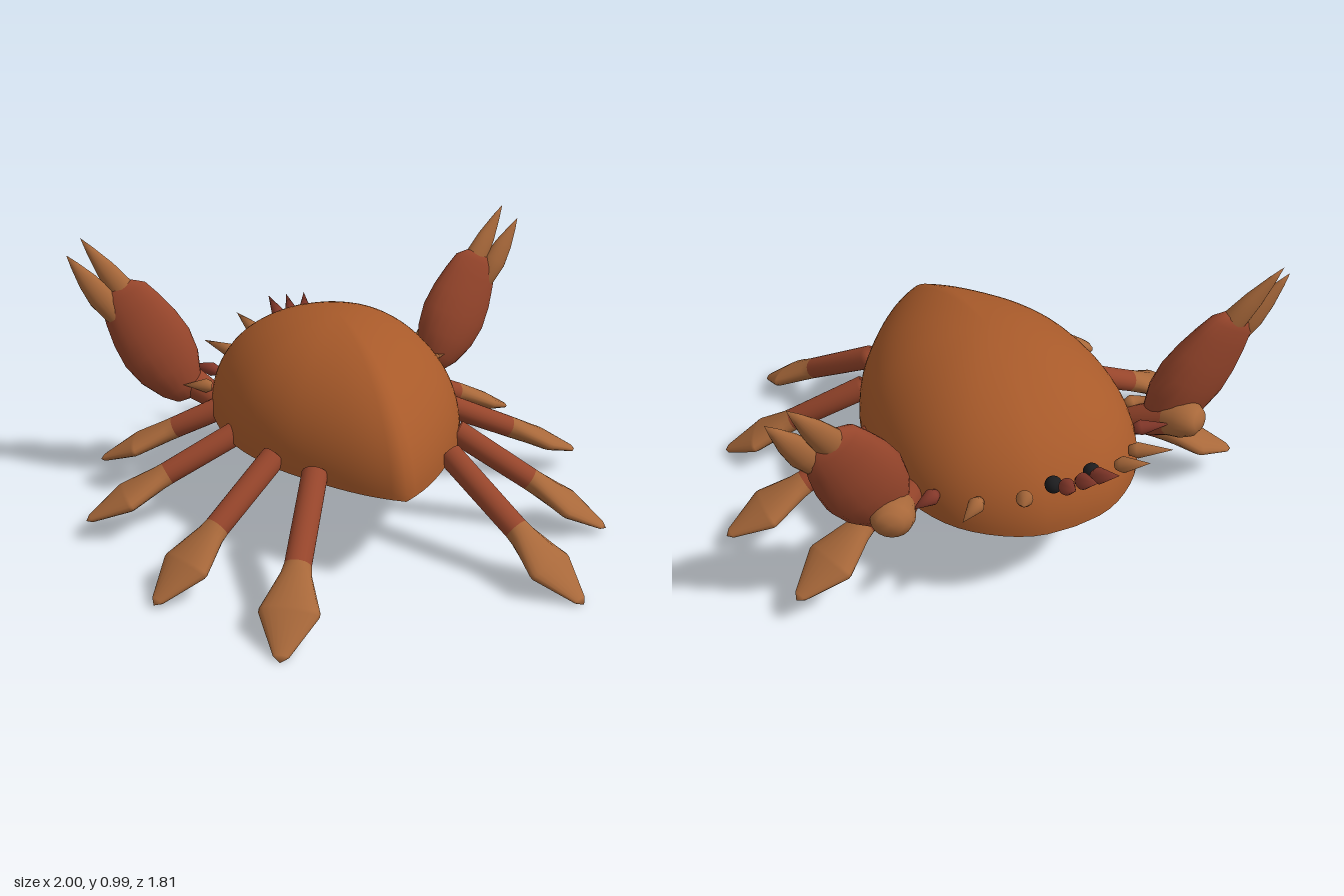
import * as THREE from 'three';
import { mergeVertices } from 'three/addons/utils/BufferGeometryUtils.js';

const V = (x, y, z) => new THREE.Vector3(x, y, z);
const SHELL = 0xa85a2a, RED = 0x96452b, TAN = 0xa8683a, DARK_RED = 0x84382a, BLACK = 0x1c1c1e;

// Weld a reshaped geometry and give it smooth normals
function smooth(geo) {
  geo.deleteAttribute('uv');
  geo.deleteAttribute('normal');
  const g = mergeVertices(geo, 1e-5);
  g.computeVertexNormals();
  return g;
}

function mesh(name, geo, color) {
  const m = new THREE.Mesh(geo, new THREE.MeshStandardMaterial({ color }));
  m.name = name;
  return m;
}

// Elliptical loft from a to b; rows are [fraction, half width, half thickness].
// The flat side's normal lies close to the given direction.
function loft(name, a, b, rows, color, flat = V(0, 1, 0)) {
  const seg = 20;
  const geo = new THREE.CylinderGeometry(1, 1, 1, seg, rows.length - 1, true);
  const dir = b.clone().sub(a), len = dir.length();
  dir.normalize();
  const wide = dir.clone().cross(flat).normalize();
  const basis = new THREE.Matrix4().makeBasis(wide, dir, wide.clone().cross(dir)).setPosition(a);
  const p = geo.attributes.position;
  for (let i = 0; i < p.count; i++) {
    const [t, w, h] = rows[rows.length - 1 - Math.floor(i / (seg + 1))];
    p.setXYZ(i, p.getX(i) * w, t * len, p.getZ(i) * h);
  }
  geo.applyMatrix4(basis);
  return mesh(name, smooth(geo), color);
}

// Domed, open-bottomed shell on a teardrop outline
function carapace() {
  const half = new THREE.CatmullRomCurve3([
    [0, 0.6], [0.06, 0.56], [0.14, 0.49], [0.26, 0.35], [0.36, 0.2], [0.44, 0],
    [0.465, -0.22], [0.45, -0.4], [0.41, -0.53], [0.35, -0.63], [0.25, -0.72], [0.13, -0.78], [0, -0.795],
  ].map(([x, z]) => V(x, 0, z)));
  const geo = new THREE.SphereGeometry(1, 72, 24, 0, Math.PI * 2, 0, Math.PI / 2);
  const p = geo.attributes.position;
  for (let i = 0; i < p.count; i++) {
    const x = p.getX(i), y = p.getY(i), z = p.getZ(i), r = Math.hypot(x, z);
    const o = half.getPointAt(Math.min(1, Math.atan2(Math.abs(x), z) / Math.PI));
    p.setXYZ(i, Math.sign(x) * o.x * r, 0.325 + 0.425 * y, -0.15 + (o.z + 0.15) * r);
  }
  const m = mesh('carapace', smooth(geo), SHELL);
  m.material.side = THREE.DoubleSide;
  return m;
}

// Round shaft ending in a flat pointed paddle
function leg(name, start, end) {
  const g = new THREE.Group();
  g.name = name;
  const len = start.distanceTo(end);
  const neck = start.clone().lerp(end, 1 - 0.34 / len);
  g.add(loft('legShaft', start, neck, [[0, 0, 0], [0, 0.046, 0.046], [1, 0.046, 0.042]], RED));
  g.add(loft('legPaddle', neck, end, [
    [0, 0.046, 0.042], [0.1, 0.052, 0.041], [0.48, 0.1, 0.034], [0.52, 0.1, 0.033],
    [0.94, 0.026, 0.012], [1, 0, 0],
  ], TAN));
  return g;
}

// Arm, palm and two slim fingers
function claw(name, s) {
  const g = new THREE.Group();
  g.name = name;
  const front = V(0, 0, 1);
  g.add(loft('arm', V(0.4 * s, 0.34, -0.39), V(0.54 * s, 0.42, -0.54),
    [[0, 0, 0], [0, 0.045, 0.045], [1, 0.07, 0.065]], RED));
  g.add(loft('armEnd', V(0.54 * s, 0.42, -0.54), V(0.6 * s, 0.46, -0.65),
    [[0, 0.07, 0.065], [0.4, 0.076, 0.068], [0.75, 0.068, 0.058], [0.93, 0.045, 0.036], [1, 0, 0]], TAN));
  g.add(loft('palm', V(0.52 * s, 0.34, -0.48), V(0.77 * s, 0.82, -0.57), [
    [0, 0, 0], [0.03, 0.05, 0.04], [0.12, 0.09, 0.07], [0.28, 0.13, 0.086], [0.45, 0.146, 0.086],
    [0.62, 0.138, 0.075], [0.78, 0.118, 0.06], [0.9, 0.098, 0.046], [0.96, 0.06, 0.03], [1, 0, 0],
  ], RED, front));
  const finger = [[0, 0, 0], [0.05, 0.04, 0.035], [0.35, 0.05, 0.036], [0.6, 0.038, 0.027], [0.85, 0.016, 0.012], [1, 0, 0]];
  g.add(loft('outerFinger', V(0.77 * s, 0.68, -0.54), V(0.945 * s, 0.94, -0.59), finger, TAN, front));
  g.add(loft('innerFinger', V(0.68 * s, 0.69, -0.54), V(0.885 * s, 0.995, -0.62), finger, TAN, front));
  return g;
}

// Small rim spike with a narrowed root
function spike(name, base, tip, color) {
  return loft(name, base, tip, [[0, 0, 0], [0, 0.018, 0.018], [0.2, 0.028, 0.028], [1, 0, 0]], color);
}

export function createModel() {
  const model = new THREE.Group();
  model.name = 'crab';
  model.add(carapace());

  // Leg roots and tips on the left side, from the eye end to the pointed end
  const legs = [
    [[0.41, 0.35, -0.335], [0.89, 0.115, -0.5]],
    [[0.4, 0.36, -0.075], [1, 0.08, -0.06]],
    [[0.35, 0.36, 0.195], [0.845, 0.02, 0.485]],
    [[0.25, 0.36, 0.37], [0.525, 0.005, 0.905]],
  ];
  // Rim spike roots and tips, from the eyes outward
  const spikes = [
    [[0.055, 0.53, -0.8], [0.08, 0.6, -0.905], DARK_RED],
    [[0.175, 0.495, -0.755], [0.235, 0.555, -0.855], TAN],
    [[0.29, 0.445, -0.66], [0.4, 0.48, -0.76], TAN],
    [[0.39, 0.42, -0.54], [0.5, 0.445, -0.6], DARK_RED],
    [[0.445, 0.415, -0.4], [0.555, 0.425, -0.42], TAN],
  ];
  for (const s of [1, -1]) {
    const side = s > 0 ? 'left' : 'right';
    const at = ([x, y, z]) => V(x * s, y, z);
    legs.forEach(([a, b], i) => model.add(leg(`${side}Leg${i + 1}`, at(a), at(b))));
    spikes.forEach(([a, b, c], i) => model.add(spike(`${side}Spike${i + 1}`, at(a), at(b), c)));
    model.add(claw(`${side}Claw`, s));
    const eye = mesh(`${side}Eye`, new THREE.SphereGeometry(0.029, 20, 14), BLACK);
    eye.position.set(0.072 * s, 0.51, -0.76);
    model.add(eye);
  }
  model.add(spike('middleSpike', V(0, 0.53, -0.8), V(0, 0.6, -0.905), DARK_RED));
  return model;
}
